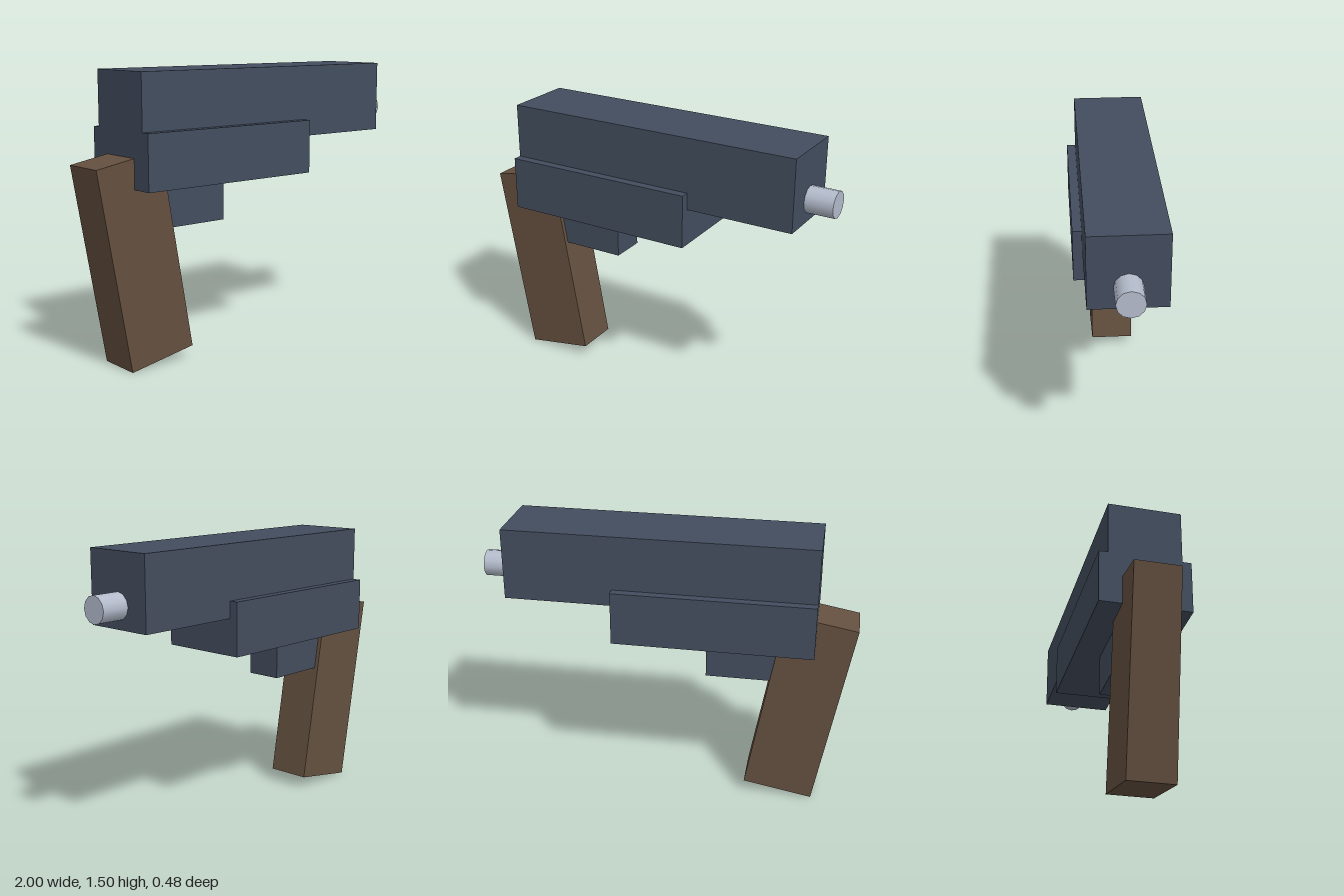
import * as THREE from 'three';

export function createModel() {
  const model = new THREE.Group();
  const metal = new THREE.MeshStandardMaterial({ color: 0x434d5e });
  const wood = new THREE.MeshStandardMaterial({ color: 0x64503f });
  const steel = new THREE.MeshStandardMaterial({ color: 0xb4bccc });

  const add = (name, geometry, material, x, y) => {
    const mesh = new THREE.Mesh(geometry, material);
    mesh.name = name;
    mesh.position.set(x, y, 0);
    model.add(mesh);
    return mesh;
  };

  // Box given by its x and y limits and its depth
  const block = (name, x0, x1, y0, y1, depth) =>
    add(name, new THREE.BoxGeometry(x1 - x0, y1 - y0, depth), metal, (x0 + x1) / 2, (y0 + y1) / 2);

  block('slide', -0.785, 0.85, 1.12, 1.5, 0.385);
  block('frame', -0.785, 0.273, 0.925, 1.21, 0.48);
  // Runs back into the grip and up into the frame
  block('triggerGuard', -0.61, -0.212, 0.705, 0.96, 0.195);

  // Barrel, seated in the front of the slide
  const barrel = add('barrel', new THREE.CylinderGeometry(0.07, 0.07, 0.25, 12), steel, 0.875, 1.235);
  barrel.rotation.z = -Math.PI / 2;

  // Grip, its top tilted backwards
  const grip = add('grip', new THREE.BoxGeometry(0.381, 1.057, 0.24), wood, -0.721, 0.554);
  grip.rotation.z = THREE.MathUtils.degToRad(10);

  return model;
}
